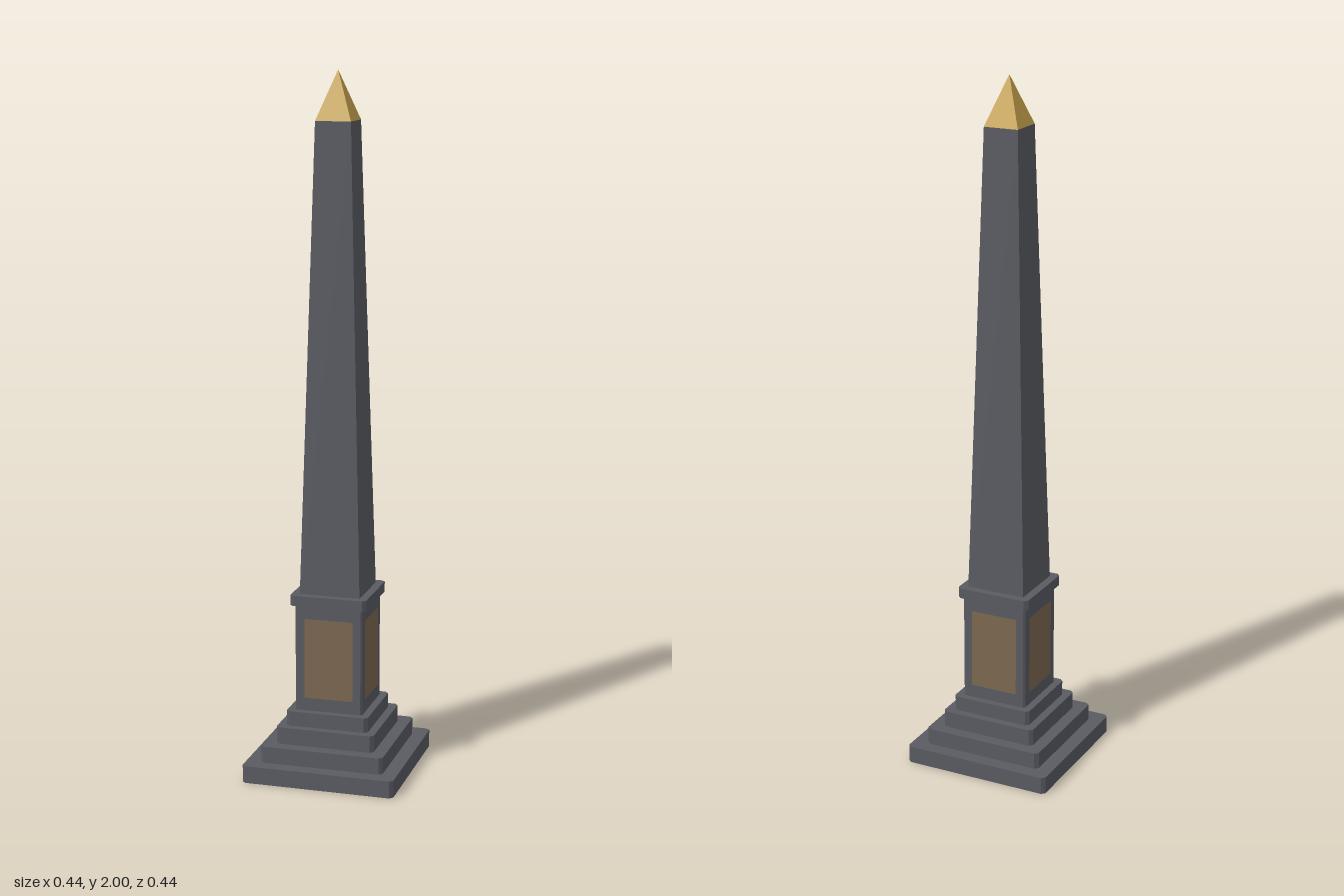
import * as THREE from 'three';

// Double-sided because the lowest step is an open shell
const stone = new THREE.MeshStandardMaterial({ color: 0x595b62, side: THREE.DoubleSide });
stone.name = 'dark stone';
const gold = new THREE.MeshStandardMaterial({ color: 0xc8a44e });
gold.name = 'gold';
const bronze = new THREE.MeshStandardMaterial({ color: 0x7c6850 });
bronze.name = 'bronze';

// Square block with chamfered vertical corners, h = half width, c = chamfer
function block(name, h, y0, y1, c = 0.01) {
  const a = h - c;
  const shape = new THREE.Shape([
    [a, -h], [h, -a], [h, a], [a, h], [-a, h], [-h, a], [-h, -a], [-a, -h],
  ].map(([x, y]) => new THREE.Vector2(x, y)));
  const geo = new THREE.ExtrudeGeometry(shape, { depth: y1 - y0, bevelEnabled: false });
  geo.rotateX(-Math.PI / 2).translate(0, y0, 0);
  geo.clearGroups();
  const mesh = new THREE.Mesh(geo, stone);
  mesh.name = name;
  return mesh;
}

// Drop the bottom lid of a block: its six triangles come first
function openBottom(mesh) {
  const { attributes } = mesh.geometry;
  for (const key of Object.keys(attributes)) {
    const { array, itemSize } = attributes[key];
    mesh.geometry.setAttribute(key, new THREE.BufferAttribute(array.slice(18 * itemSize), itemSize));
  }
}

// Four-sided taper with flat faces square to the axes; r0, r1 = half widths
function taper(name, r0, r1, y0, y1, material) {
  const s = Math.SQRT2;
  let geo = new THREE.CylinderGeometry(r1 * s, r0 * s, y1 - y0, 4);
  geo.rotateY(Math.PI / 4).translate(0, (y0 + y1) / 2, 0);
  geo = geo.toNonIndexed();
  geo.computeVertexNormals();
  const mesh = new THREE.Mesh(geo, material);
  mesh.name = name;
  return mesh;
}

export function createModel() {
  const model = new THREE.Group();
  model.name = 'obelisk';

  // Stepped base, hollow underneath
  const steps = [[0.222, 0, 0.05], [0.18, 0.05, 0.098], [0.144, 0.098, 0.147], [0.1205, 0.147, 0.19]]
    .map(([h, y0, y1], i) => block(`baseStep${i + 1}`, h, y0, y1));
  openBottom(steps[0]);
  model.add(...steps);

  // Pedestal and its cap
  model.add(block('pedestal', 0.099, 0.19, 0.502, 0.005));
  model.add(block('pedestalCap', 0.1115, 0.502, 0.532));

  // Thin plaque on each pedestal face
  for (let i = 0; i < 4; i++) {
    const geo = new THREE.PlaneGeometry(0.142, 0.235);
    geo.translate(0, 0.3455, 0.1).rotateY(i * Math.PI / 2);
    const plaque = new THREE.Mesh(geo, bronze);
    plaque.name = `plaque${i + 1}`;
    model.add(plaque);
  }

  // Tapered shaft and gilded tip
  model.add(taper('shaft', 0.088, 0.051, 0.532, 1.863, stone));
  model.add(taper('tip', 0.051, 0, 1.863, 2, gold));
  return model;
}
